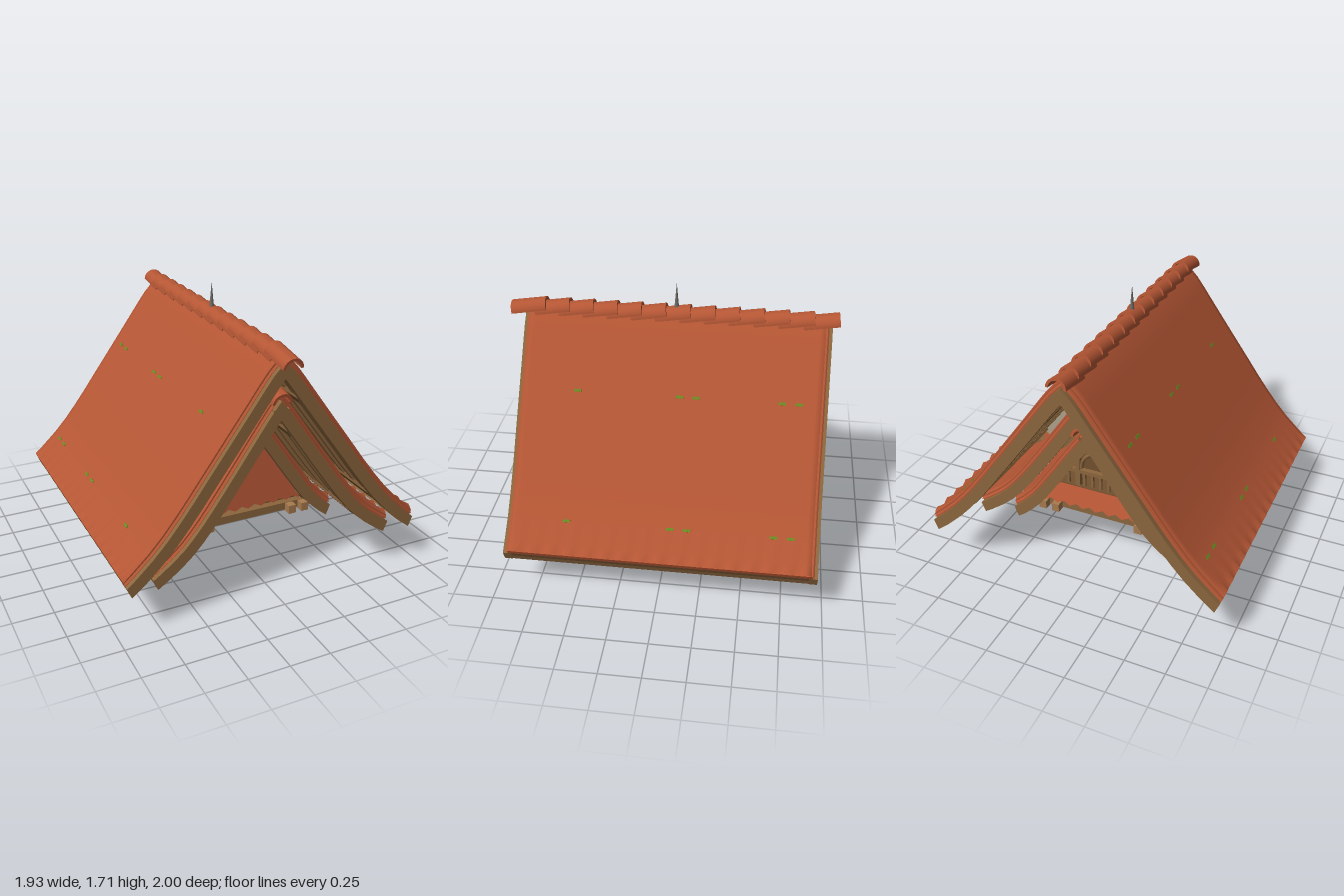
import * as THREE from 'three';
import { mergeGeometries, toCreasedNormals } from 'three/addons/utils/BufferGeometryUtils.js';

const mat = (name, color, double = false) => {
  const m = new THREE.MeshStandardMaterial({ color, side: double ? THREE.DoubleSide : THREE.FrontSide });
  m.name = name;
  return m;
};

export function createModel() {
  const model = new THREE.Group();
  model.name = 'nestedGableRoofs';
  const tile = mat('terracottaTile', 0xb45634, true);
  const wood = mat('timber', 0x8c663d);
  const dark = mat('darkTimber', 0x72512f);
  const light = mat('paleTimber', 0xa87a4e);
  const plaster = mat('plaster', 0xaca08a, true);
  const leaf = mat('ivyGreen', 0x22420a, true);
  const moss = mat('mossGreen', 0x678a20);
  const iron = mat('iron', 0x74716a);

  const add = (parent, name, geo, m) => {
    const mesh = new THREE.Mesh(geo, m);
    mesh.name = name;
    parent.add(mesh);
    return mesh;
  };
  const box = (parent, name, w, h, d, x, y, z, m) => {
    const b = add(parent, name, new THREE.BoxGeometry(w, h, d), m);
    b.position.set(x, y, z);
    return b;
  };

  // Half profile of a sweeping roof slope: points with outward normals, near-vertical cut at the eave
  const STEPS = 14;
  const makeProfile = (pts) => {
    const curve = new THREE.SplineCurve(pts.map(([x, y]) => new THREE.Vector2(x, y)));
    return Array.from({ length: STEPS + 1 }, (_, i) => {
      const u = i === STEPS ? 1 : (i / (STEPS - 1)) * 0.95;
      const p = curve.getPoint(u), t = curve.getTangent(u);
      return i === STEPS ? { x: p.x, y: p.y, nx: 0.38, ny: 0.92 } : { x: p.x, y: p.y, nx: -t.y, ny: t.x };
    });
  };
  // Point on the profile moved by d along the normal, mitred at the ridge
  const offset = (p, d) => (p.x < 1e-4 ? [0, p.y + d / p.ny] : [p.x + p.nx * d, p.y + p.ny * d]);
  const tilt = (p, side) => -side * Math.atan2(p.nx, p.ny);

  // Chevron shaped band following both slopes
  const band = (parent, name, prof, dTop, dBottom, z0, z1, m, count = STEPS + 1) => {
    const half = prof.slice(0, count);
    const run = (d) => {
      const right = half.map((p) => offset(p, d));
      return [...right.slice(1).reverse().map(([x, y]) => [-x, y]), ...right];
    };
    const loop = [...run(dBottom), ...run(dTop).reverse()].map(([x, y]) => new THREE.Vector2(x, y));
    const geo = new THREE.ExtrudeGeometry(new THREE.Shape(loop), { depth: z1 - z0, bevelEnabled: false });
    geo.translate(0, 0, z0);
    return add(parent, name, toCreasedNormals(geo, 0.4), m);
  };

  // Tile skin: flat on the slope, scalloped at the eaves, rolled at the verges
  const tileSkin = (parent, prof, z0, z1) => {
    const waves = Math.round((z1 - z0) / 0.108), cols = waves * 4, rows = STEPS * 2;
    const geo = new THREE.PlaneGeometry(1, 1, cols, rows);
    const pos = geo.attributes.position;
    for (let r = 0; r <= rows; r++) {
      for (let c = 0; c <= cols; c++) {
        const k = Math.abs(r - STEPS), side = r < STEPS ? 1 : -1;
        const edge = c === 0 || c === cols;
        const wave = k === STEPS ? 0.022 * (0.5 - 0.5 * Math.cos((c * Math.PI) / 2)) : 0.006;
        const [x, y] = offset(prof[k], edge ? -0.02 : wave);
        pos.setXYZ(r * (cols + 1) + c, side * x, y, z0 + ((z1 - z0) * c) / cols);
      }
    }
    geo.computeVertexNormals();
    add(parent, 'tileSkin', geo, tile);
  };

  // Overlapping half-round ridge tiles
  const ridgeTiles = (parent, y, zFront, count) => {
    const s = new THREE.Shape();
    s.absarc(0, 0, 0.062, 0, Math.PI, false);
    s.absarc(0, 0, 0.046, Math.PI, 0, true);
    const geo = toCreasedNormals(
      new THREE.ExtrudeGeometry(s, { depth: 0.22, bevelEnabled: false, curveSegments: 10 }).translate(0, 0, -0.22), 0.6);
    for (let i = 0; i < count; i++) {
      const t = add(parent, 'ridgeTile', geo, tile);
      t.position.set(0, y, zFront - i * 0.148);
      t.rotation.x = 0.16;
    }
  };

  const roof = (name, pts, zBack, zFront, rafterCount, ridge) => {
    const g = new THREE.Group();
    g.name = name;
    model.add(g);
    const prof = makeProfile(pts);
    const mid = (zFront + zBack) / 2, length = zFront - zBack;
    tileSkin(g, prof, zBack + 0.02, zFront - 0.02);
    band(g, 'tileBed', prof, 0, -0.03, zBack + 0.03, zFront - 0.03, tile);
    band(g, 'boarding', prof, -0.03, -0.055, zBack + 0.05, zFront - 0.05, dark);
    band(g, 'frontBargeboard', prof, -0.03, -0.1, zFront - 0.05, zFront, wood);
    band(g, 'backBargeboard', prof, -0.03, -0.1, zBack, zBack + 0.05, wood);
    for (let i = 1; i <= rafterCount; i++) {
      const z = zBack + (length * i) / (rafterCount + 1);
      band(g, 'rafter', prof, -0.055, -0.09, z - 0.02, z + 0.02, wood);
    }
    // purlins and eave boards running the length of each slope
    [-1, 1].forEach((s) => {
      [4, 11].forEach((k) => {
        const [x, y] = offset(prof[k], -0.08);
        box(g, 'purlin', 0.05, 0.045, length - 0.1, s * x, y, mid, dark).rotation.z = tilt(prof[k], s);
      });
      const [x, y] = offset(prof[STEPS], -0.06);
      box(g, 'eaveBoard', 0.025, 0.065, length - 0.1, s * (x - 0.015), y, mid, wood).rotation.z = tilt(prof[STEPS], s);
    });
    ridgeTiles(g, ...ridge);
    return { g, prof };
  };

  const outer = roof('outerRoof',
    [[0, 1.53], [0.09, 1.44], [0.2, 1.29], [0.345, 1.09], [0.48, 0.905], [0.63, 0.7], [0.78, 0.52], [0.955, 0.355]],
    -0.95, 0.92, 15, [1.475, 1, 13]);
  const middle = roof('middleRoof',
    [[0, 1.3], [0.08, 1.2], [0.2, 1.03], [0.35, 0.815], [0.5, 0.61], [0.63, 0.465], [0.79, 0.345]],
    -0.66, 0.89, 9, [1.24, 0.9, 10]);
  const inner = roof('innerRoof',
    [[0, 1.08], [0.07, 0.995], [0.18, 0.84], [0.3, 0.665], [0.42, 0.5], [0.54, 0.385]],
    -0.66, 0.62, 5, [1.02, 0.66, 9]);

  // Half-timbered walls closing the gaps between the roofs
  band(outer.g, 'plasterWall', outer.prof, -0.05, -0.19, -0.01, 0.01, plaster, 12);
  band(middle.g, 'timberWall', middle.prof, -0.05, -0.18, -0.01, 0.01, wood, 13);
  [-1, 1].forEach((s) => {
    box(outer.g, 'tieBeam', 0.2, 0.04, 0.06, s * 0.6, 0.565, 0.03, wood);
    box(outer.g, 'lowerTieBeam', 0.27, 0.045, 0.06, s * 0.695, 0.405, 0.03, wood);
    box(middle.g, 'middleTieBeam', 0.2, 0.045, 0.06, s * 0.53, 0.405, 0.03, wood);
    box(outer.g, 'stud', 0.04, 0.12, 0.06, s * 0.22, 1.06, 0.03, wood);
    [[0.28, 1.04], [0.445, 0.77], [0.575, 0.6], [0.64, 0.51]].forEach(([x, y]) =>
      box(outer.g, 'peg', 0.05, 0.03, 0.04, s * x, y, 0.03, light).rotation.z = -s * 0.93);
    [[0.26, 0.84], [0.39, 0.65]].forEach(([x, y]) =>
      box(middle.g, 'tilePeg', 0.05, 0.1, 0.04, s * x, y, 0.03, tile).rotation.z = s * 0.6);
  });

  // Small moss patches on the slopes and the front panel
  [[5, 0.6], [12, 0]].forEach(([k, f]) => [0.55, -0.07, -0.17, -0.68, -0.78].forEach((z) => [-1, 1].forEach((s) => {
    const p = outer.prof[k], [x0, y0] = offset(p, 0.008), [x1, y1] = offset(outer.prof[k + 1], 0.008);
    box(outer.g, 'mossPatch', 0.016, 0.004, 0.045, s * (x0 + (x1 - x0) * f), y0 + (y1 - y0) * f, z, moss)
      .rotation.z = tilt(p, s);
  })));

  // Tiled panels with a toothed lower edge
  const tiledPanel = (name, halfBase, halfTop, height) => {
    const s = new THREE.Shape();
    s.moveTo(-halfBase, 0.02);
    const teeth = Math.round(halfBase / 0.045);
    for (let i = 0; i < teeth; i++) {
      const x = -halfBase + ((i + 0.5) * 2 * halfBase) / teeth;
      s.lineTo(x, 0);
      s.lineTo(x + halfBase / teeth, 0.02);
    }
    s.lineTo(halfTop, height);
    if (halfTop > 0) s.lineTo(-halfTop, height);
    return add(inner.g, name, new THREE.ExtrudeGeometry(s, { depth: 0.03, bevelEnabled: false }), tile);
  };
  const frontPanel = tiledPanel('frontGableTiles', 0.4, 0, 0.59);
  frontPanel.position.set(0, 0.4, 0.49);
  frontPanel.rotation.x = -0.13;
  [-0.05, 0.05].forEach((x) => box(frontPanel, 'mossPatch', 0.03, 0.012, 0.005, x, 0.46, 0.031, moss));
  const skirt = tiledPanel('backSkirtTiles', 0.4, 0.31, 0.13);
  skirt.position.set(0, 0.4, -0.55);
  skirt.rotation.set(-0.5, Math.PI, 0, 'YXZ');

  // Rear balcony: recessed wall, railing, posts and curved braces
  const wall = new THREE.Shape([[-0.42, 0.38], [0.42, 0.38], [0, 1.0]].map(([x, y]) => new THREE.Vector2(x, y)));
  add(inner.g, 'balconyWall', new THREE.ExtrudeGeometry(wall, { depth: 0.03, bevelEnabled: false }), dark)
    .position.z = -0.36;
  box(inner.g, 'balconyFloor', 0.62, 0.02, 0.18, 0, 0.52, -0.42, dark);
  box(inner.g, 'handrail', 0.5, 0.025, 0.03, 0, 0.64, -0.49, wood);
  for (let i = -4; i <= 4; i++) box(inner.g, 'baluster', 0.015, 0.11, 0.015, i * 0.055, 0.58, -0.49, wood);
  [-1, 1].forEach((s) => {
    box(inner.g, 'balconyPost', 0.03, 0.26, 0.03, s * 0.15, 0.66, -0.49, wood);
    const brace = add(inner.g, 'archBrace', new THREE.TorusGeometry(0.13, 0.013, 5, 8, Math.PI / 2), wood);
    brace.position.set(0, 0.66, -0.49);
    if (s < 0) brace.rotation.y = Math.PI;
  });
  box(inner.g, 'collarBeam', 0.34, 0.035, 0.04, 0, 0.8, -0.49, wood);

  // Floor frame with projecting joist ends
  const floor = new THREE.Group();
  floor.name = 'floorFrame';
  model.add(floor);
  [-1, 1].forEach((s) => {
    box(floor, 'endBeam', 1.0, 0.05, 0.07, 0, 0.345, s * 0.46, wood);
    box(floor, 'sideBeam', 0.07, 0.05, 0.9, s * 0.4, 0.345, 0, wood);
    box(floor, 'innerBeam', 0.06, 0.045, 0.86, s * 0.17, 0.35, 0, wood);
    box(floor, 'floorBoards', 0.24, 0.012, 0.9, s * 0.27, 0.372, 0, dark);
    [-0.39, -0.27, 0.3, 0.39].forEach((x) => box(floor, 'joistEnd', 0.05, 0.055, 0.09, x, 0.34, s * 0.5, light));
    for (let i = -2; i <= 2; i++) box(floor, 'sideJoistEnd', 0.1, 0.05, 0.05, s * 0.44, 0.342, i * 0.17, light);
  });
  box(floor, 'ceilingPanel', 0.3, 0.01, 0.88, 0, 0.372, 0, plaster);
  box(floor, 'centreBeam', 0.05, 0.04, 0.88, 0, 0.352, 0, wood);
  [-0.3, 0.3].forEach((z) => box(floor, 'crossBeam', 0.8, 0.04, 0.05, 0, 0.35, z, wood));

  // Hanging ivy: strands of small pointed leaves
  let seed = 7;
  const rnd = () => (seed = (seed * 16807) % 2147483647) / 2147483647;
  const leaves = [];
  [[-0.27, 0.22], [-0.22, 0.25], [-0.16, 0.12], [-0.13, 0.03], [-0.09, 0.12], [-0.05, 0.1], [-0.03, 0.015],
    [0.0, 0.12], [0.04, 0.17], [0.09, 0.16], [0.12, 0.2]].forEach(([x, low], i) => {
    for (let y = low; y < 0.34; y += 0.02) {
      const size = 0.013 + 0.022 * Math.min(1, (y - low) / 0.12);
      const g = new THREE.ConeGeometry(size, size * 2, 4);
      g.scale(1, 1, 0.35);
      g.rotateZ(rnd() * 6.28).rotateY(rnd() - 0.5);
      leaves.push(g.translate(x + (rnd() - 0.5) * 0.03, Math.max(y, size * 1.1), (i % 2 ? -0.04 : -0.005) + (rnd() - 0.5) * 0.015));
    }
  });
  add(model, 'hangingIvy', mergeGeometries(leaves).toNonIndexed(), leaf).geometry.computeVertexNormals();

  // Finial spike on the ridge
  const spike = add(model, 'finialSpike', new THREE.ConeGeometry(0.018, 0.2, 6), iron);
  spike.position.set(0, 1.61, -0.012);

  return model;
}
